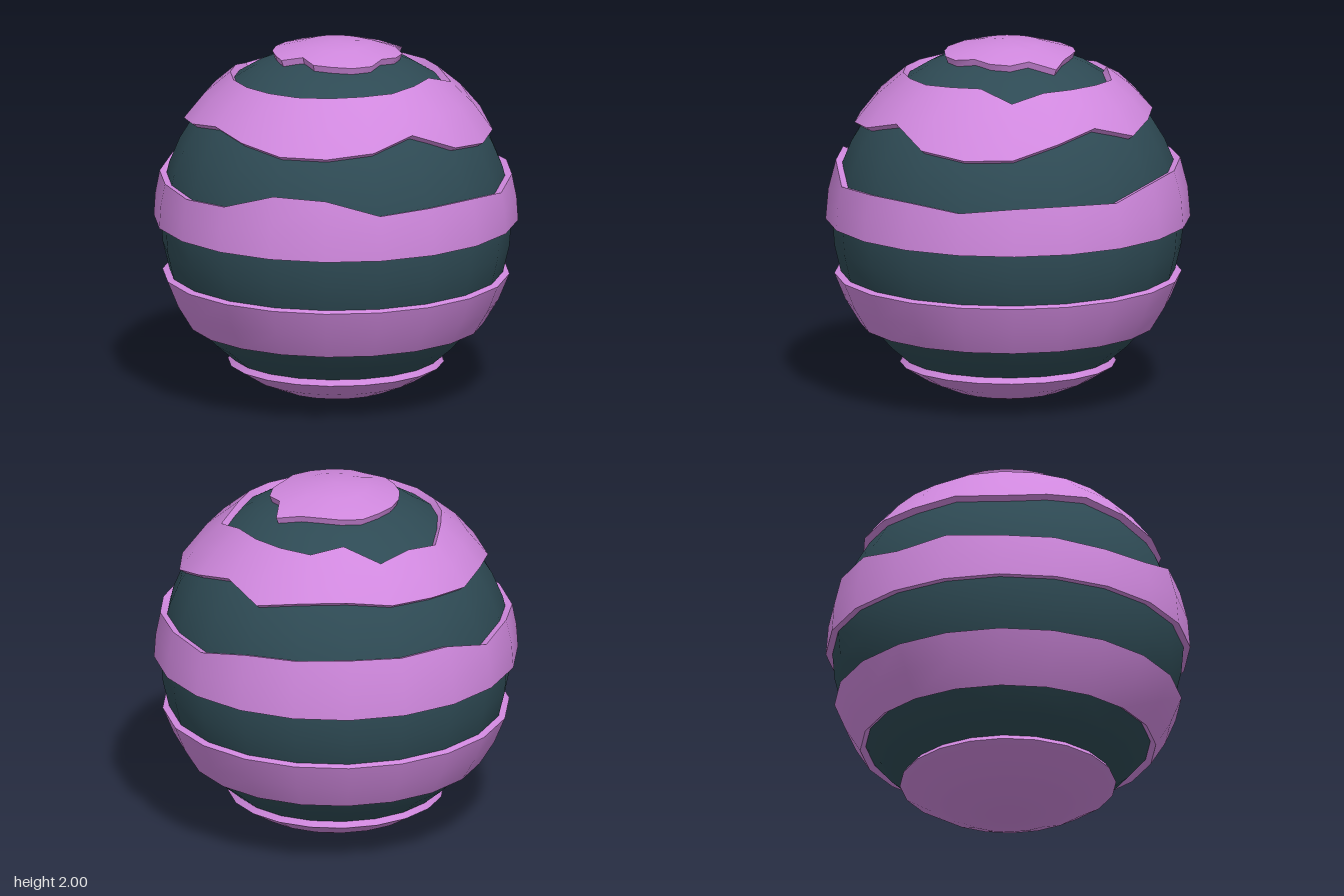
import * as THREE from 'three';
import { toCreasedNormals } from 'three/addons/utils/BufferGeometryUtils.js';

const SIDES = 20;
const INNER = 0.95; // band rims sink slightly into the core

// Latitude of a point on the unit sphere, from its height or its ring radius
const fromY = (y) => Math.asin(y - 1);
const fromR = (r) => Math.acos(r);
const ring = (lat) => Array(SIDES).fill(lat);

// Raised shell on the sphere between two latitude outlines, with edge rims
function shell(low, high, steps) {
  const pos = [];
  const profile = (i) => {
    const k = i % SIDES;
    const a = (k / SIDES) * Math.PI * 2;
    const at = (lat, r) => [
      r * Math.cos(lat) * Math.sin(a), 1 + r * Math.sin(lat), r * Math.cos(lat) * Math.cos(a)];
    const pts = [at(low[k], INNER)];
    for (let s = 0; s <= steps; s++) pts.push(at(low[k] + (high[k] - low[k]) * s / steps, 1));
    pts.push(at(high[k], INNER));
    return pts;
  };
  const same = (p, q) => Math.hypot(p[0] - q[0], p[1] - q[1], p[2] - q[2]) < 1e-5;
  const tri = (a, b, c) => {
    if (!same(a, b) && !same(b, c) && !same(a, c)) pos.push(...a, ...b, ...c);
  };
  for (let i = 0; i < SIDES; i++) {
    const p = profile(i), q = profile(i + 1);
    for (let j = 0; j < p.length - 1; j++) {
      tri(p[j], q[j], q[j + 1]);
      tri(p[j], q[j + 1], p[j + 1]);
    }
  }
  const g = new THREE.BufferGeometry();
  g.setAttribute('position', new THREE.Float32BufferAttribute(pos, 3));
  return toCreasedNormals(g, 0.7);
}

export function createModel() {
  const group = new THREE.Group();
  const pink = new THREE.MeshStandardMaterial({ color: 0xd088de });
  pink.name = 'orchid pink';
  const dark = new THREE.MeshStandardMaterial({ color: 0x2e4a54 });
  dark.name = 'dark teal';

  const add = (name, geometry, material) => {
    const mesh = new THREE.Mesh(geometry, material);
    mesh.name = name;
    group.add(mesh);
    return mesh;
  };

  // Dark ball, turned so a vertex column faces the front
  add('core', new THREE.SphereGeometry(0.963, SIDES, 20), dark).position.y = 1;

  // Even lower bands
  add('bottomCap', shell(ring(-Math.PI / 2), ring(fromY(0.195)), 4), pink);
  add('lowerBand', shell(ring(fromY(0.415)), ring(fromY(0.695)), 2), pink);

  // Wavy edges, counted from the front towards +x
  const middleTop = [1.34, 1.33, 1.245, 1.26, 1.26, 1.23, 1.26, 1.265, 1.25, 1.31,
    1.32, 1.33, 1.32, 1.325, 1.25, 1.28, 1.25, 1.25, 1.235, 1.25].map(fromY);
  const upperBottom = [1.54, 1.54, 1.565, 1.63, 1.53, 1.5, 1.51, 1.58, 1.635, 1.56,
    1.6, 1.61, 1.58, 1.575, 1.56, 1.58, 1.55, 1.58, 1.62, 1.58].map(fromY);
  const upperTop = [0.58, 0.575, 0.57, 0.57, 0.555, 0.545, 0.63, 0.575, 0.575, 0.58,
    0.59, 0.54, 0.645, 0.61, 0.64, 0.59, 0.58, 0.58, 0.58, 0.58].map(fromR);
  const capEdge = [0.34, 0.35, 0.365, 0.365, 0.325, 0.355, 0.365, 0.335, 0.43, 0.37,
    0.36, 0.37, 0.38, 0.365, 0.36, 0.355, 0.35, 0.345, 0.355, 0.285].map(fromR);

  add('middleBand', shell(ring(0), middleTop, 2), pink);
  add('upperBand', shell(upperBottom, upperTop, 2), pink);
  add('topCap', shell(capEdge, ring(Math.PI / 2), 2), pink);
  return group;
}
